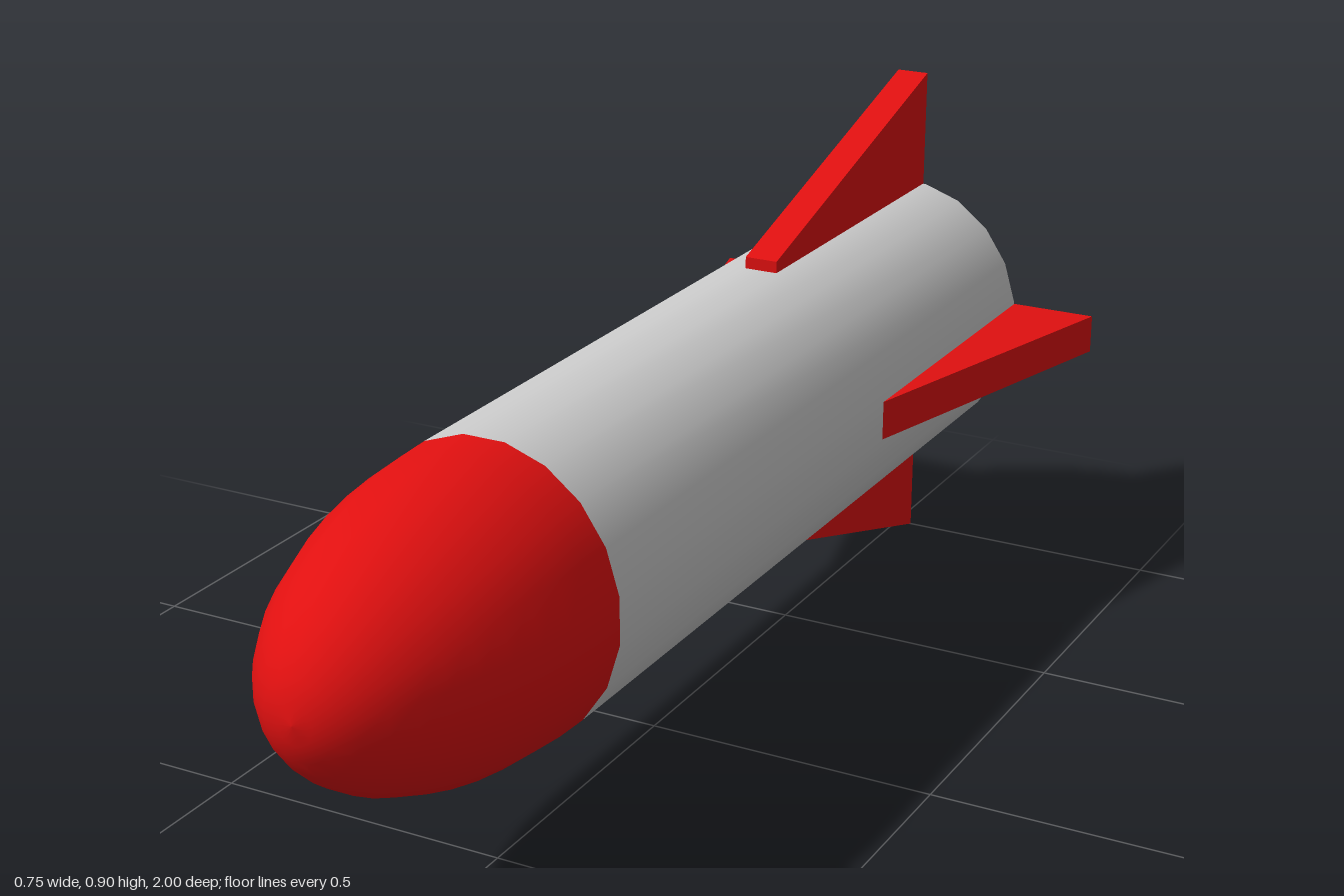
import * as THREE from 'three';

const RX = 0.224, RY = 0.243, CY = 0.45, SIDES = 20;
const TAIL = -1, SHOULDER = 0.51, TIP = 1;

export function createModel() {
  const model = new THREE.Group();
  const grey = new THREE.MeshStandardMaterial({ color: 0xcccccc });
  const red = new THREE.MeshStandardMaterial({ color: 0xe01010 });

  const add = (name, geometry, material) => {
    const mesh = new THREE.Mesh(geometry, material);
    mesh.name = name;
    model.add(mesh);
    return mesh;
  };

  // Turn an upright unit-radius solid to point along +z, with an oval section
  const layAlongZ = (geometry) => geometry
    .rotateY(Math.PI / SIDES)
    .rotateX(Math.PI / 2)
    .scale(RX, RY, 1);

  // Body: closed oval tube, its tail cap just ahead of the fin ends
  const length = SHOULDER - TAIL - 0.002;
  const body = add('body', layAlongZ(new THREE.CylinderGeometry(1, 1, length, SIDES)), grey);
  body.position.set(0, CY, SHOULDER - length / 2);

  // Nose cone: half ellipsoid
  const profile = [];
  for (let i = 0; i <= 12; i++) {
    const a = (i / 12) * Math.PI / 2;
    profile.push(new THREE.Vector2(Math.cos(a), Math.sin(a) * (TIP - SHOULDER)));
  }
  profile[12].x = 0;
  const nose = add('noseCone', layAlongZ(new THREE.LatheGeometry(profile, SIDES)), red);
  nose.position.set(0, CY, SHOULDER);

  // Fin: tapered plate, drawn as (z, distance from the axis) and pointing up
  const addFin = (name, root, frontTop, span, frontZ, thickness, angle) => {
    const shape = new THREE.Shape([
      new THREE.Vector2(-TAIL, root),
      new THREE.Vector2(-TAIL, span),
      new THREE.Vector2(-frontZ, frontTop),
      new THREE.Vector2(-frontZ, root),
    ]);
    const geometry = new THREE.ExtrudeGeometry(shape, { depth: thickness, bevelEnabled: false });
    geometry.translate(0, 0, -thickness / 2).rotateY(Math.PI / 2).rotateZ(angle);
    add(name, geometry, red).position.set(0, CY, 0);
  };
  addFin('topFin', 0.23, 0.26, 0.45, -0.378, 0.058, 0);
  addFin('bottomFin', 0.238, 0.26, 0.45, -0.378, 0.058, Math.PI);
  addFin('leftFin', 0.18, 0.22, 0.374, -0.4, 0.068, -Math.PI / 2);
  addFin('rightFin', 0.215, 0.22, 0.374, -0.4, 0.068, Math.PI / 2);

  return model;
}
